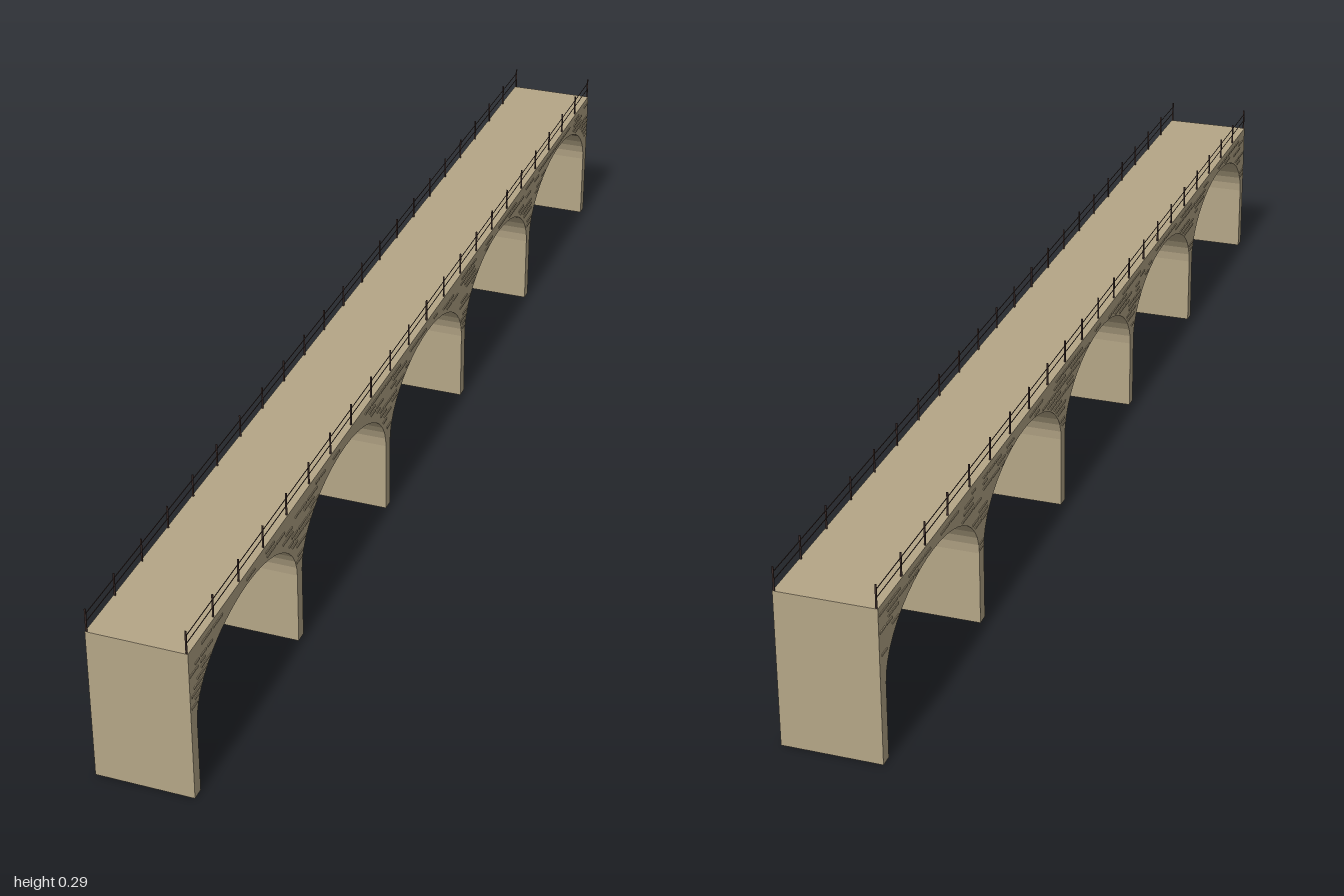
import * as THREE from 'three';
import { mergeGeometries } from 'three/addons/utils/BufferGeometryUtils.js';

const HALF_WIDTH = 0.0775, DECK = 0.2515;
const SPAN = 0.396, PIER = 0.02, ARCHES = 5;
const SPRING = 0.122, RISE = 0.109, RADIUS = (SPAN - PIER) / 2;

const stone = new THREE.MeshStandardMaterial({ name: 'stone', color: 0xb5a687 });
const iron = new THREE.MeshStandardMaterial({ name: 'darkIron', color: 0x3c2c29 });

const archCentre = (i) => (i - (ARCHES - 1) / 2) * SPAN;

// Small seeded generator for the scattered stones
function seeded(seed) {
  return () => {
    seed = (seed * 16807) % 2147483647;
    return seed / 2147483647;
  };
}

function box(w, h, d, x, y, z) {
  return new THREE.BoxGeometry(w, h, d).translate(x, y, z);
}

function mesh(name, geometry, material) {
  const m = new THREE.Mesh(geometry, material);
  m.name = name;
  return m;
}

// Side outline with elliptical arches, extruded across the width
function viaductBody() {
  const shape = new THREE.Shape();
  const steps = 22;
  shape.moveTo(-1, DECK);
  shape.lineTo(-1, 0);
  for (let i = 0; i < ARCHES; i++) {
    const c = archCentre(i);
    shape.lineTo(c - RADIUS, 0);
    for (let k = 0; k <= steps; k++) {
      const a = Math.PI * (1 - k / steps);
      shape.lineTo(c + RADIUS * Math.cos(a), SPRING + RISE * Math.sin(a));
    }
    shape.lineTo(c + RADIUS, 0);
  }
  shape.lineTo(1, 0);
  shape.lineTo(1, DECK);
  const g = new THREE.ExtrudeGeometry(shape, { depth: HALF_WIDTH * 2, bevelEnabled: false });
  return g.translate(0, 0, -HALF_WIDTH).rotateY(Math.PI / 2);
}

// True where a point of the side wall is solid stone
function isWall(z, y) {
  if (Math.abs(z) > 0.999) return false;
  for (let i = 0; i < ARCHES; i++) {
    const u = (z - archCentre(i)) / (RADIUS + 0.002);
    const v = Math.max(0, y - SPRING) / (RISE + 0.002);
    if (u * u + v * v < 1) return false;
  }
  return true;
}

// Slightly raised long stones scattered in courses over the spandrels
function wallStones(side) {
  const random = seeded(side > 0 ? 17 : 91);
  const parts = [];
  const h = 0.003;
  for (let y = 0.128; y < 0.242; y += 0.0093) {
    let z = -0.998 + random() * 0.006;
    while (z < 1) {
      const length = 0.014 + random() * 0.026;
      const clear = [z, z + length].every((e) => isWall(e, y - h / 2));
      if (clear && random() < 0.65) {
        parts.push(box(0.002, h, length, side * (HALF_WIDTH + 0.0003), y, z + length / 2));
      }
      z += clear ? length + 0.006 : 0.003;
    }
  }
  return mergeGeometries(parts);
}

// Posts with two thin rails
function railing(side) {
  const group = new THREE.Group();
  group.name = side > 0 ? 'leftRailing' : 'rightRailing';
  const x = side * 0.0752;
  const posts = [];
  for (let i = 0; i <= 22; i++) {
    posts.push(box(0.0026, 0.038, 0.0016, x, DECK + 0.019, -0.999 + (i * 1.998) / 22));
  }
  group.add(mesh('posts', mergeGeometries(posts), iron));
  const rails = [0.268, 0.281].map((y) => box(0.001, 0.001, 1.997, x, y, 0));
  group.add(mesh('rails', mergeGeometries(rails), iron));
  return group;
}

export function createModel() {
  const model = new THREE.Group();
  model.name = 'archedBridge';
  model.add(mesh('archedBody', viaductBody(), stone));
  for (const side of [1, -1]) {
    model.add(mesh(side > 0 ? 'leftWallStones' : 'rightWallStones', wallStones(side), stone));
    model.add(railing(side));
  }
  return model;
}
